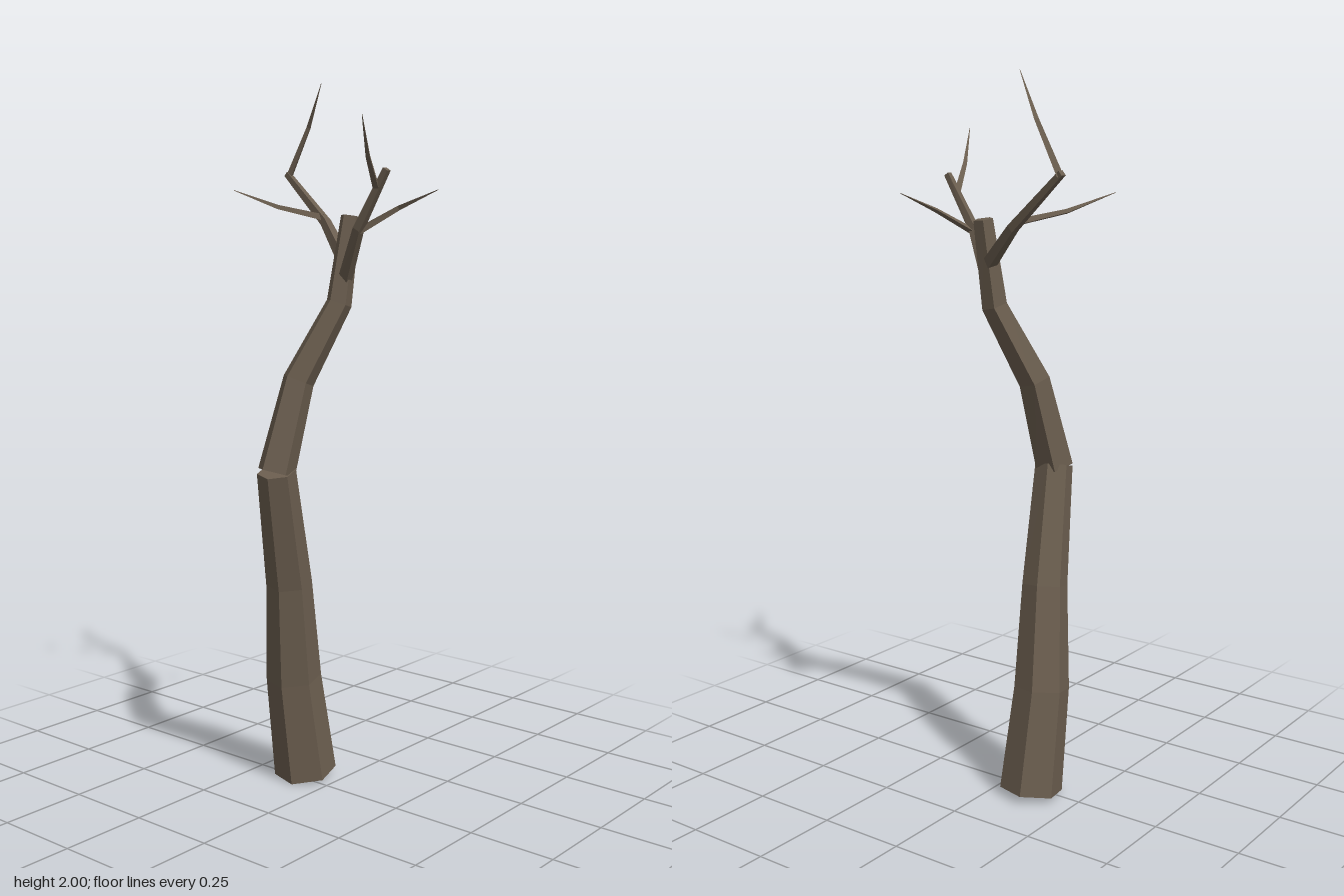
import * as THREE from 'three';

const bark = new THREE.MeshStandardMaterial({ color: 0x6b5e4f });
bark.name = 'bark';

// Faceted, capped limb: stations are [x, y, z, radius], each ring square to the path
function limb(name, sides, turn, stations) {
  const pts = stations.map(s => new THREE.Vector3(s[0], s[1], s[2]));
  const last = pts.length - 1;
  const dir = i => pts[i + 1].clone().sub(pts[i]).normalize();
  const ref = Math.abs(dir(0).x) > 0.65 ? new THREE.Vector3(0, 0, 1) : new THREE.Vector3(1, 0, 0);
  const rings = pts.map((p, i) => {
    const t = dir(Math.min(i, last - 1)).add(dir(Math.max(i - 1, 0))).normalize();
    const u = ref.clone().addScaledVector(t, -ref.dot(t)).normalize();
    const v = u.clone().cross(t);
    const ring = [];
    for (let j = 0; j < sides; j++) {
      const a = THREE.MathUtils.degToRad(turn) + (j / sides) * Math.PI * 2;
      ring.push(p.clone()
        .addScaledVector(u, Math.cos(a) * stations[i][3])
        .addScaledVector(v, Math.sin(a) * stations[i][3]));
    }
    return ring;
  });
  const tris = [];
  for (let j = 0; j < sides; j++) {
    const k = (j + 1) % sides;
    for (let i = 0; i < last; i++) {
      const [a, b, c, d] = [rings[i][j], rings[i][k], rings[i + 1][j], rings[i + 1][k]];
      tris.push(a, c, b, b, c, d);
    }
    tris.push(pts[0], rings[0][j], rings[0][k]);
    tris.push(pts[last], rings[last][k], rings[last][j]);
  }
  const geo = new THREE.BufferGeometry().setFromPoints(tris);
  geo.computeVertexNormals();
  const mesh = new THREE.Mesh(geo, bark);
  mesh.name = name;
  return mesh;
}

export function createModel() {
  const tree = new THREE.Group();
  tree.name = 'bareTree';

  // Trunk in two leaning pieces
  tree.add(limb('lowerTrunk', 6, 16, [
    [-0.105, 0.014, -0.028, 0.09], [-0.11, 0.31, 0.016, 0.079],
    [-0.09, 0.6, 0.058, 0.065], [-0.065, 0.932, 0.137, 0.054],
  ]));
  tree.add(limb('upperTrunk', 5, 19, [
    [-0.066, 0.93, 0.138, 0.055], [-0.042, 1.18, 0.072, 0.046],
    [0.035, 1.39, -0.01, 0.037], [0.047, 1.625, -0.045, 0.028],
  ]));

  // Main branches
  tree.add(limb('rightBranch', 4, 45, [
    [0.035, 1.505, -0.035, 0.021], [-0.12, 1.61, -0.14, 0.016], [-0.292, 1.75, -0.172, 0.011],
  ]));
  tree.add(limb('leftBranch', 4, 45, [
    [0.045, 1.445, -0.02, 0.021], [0.14, 1.59, 0.037, 0.016], [0.235, 1.742, 0.04, 0.011],
  ]));

  // Pointed twigs
  const twigs = {
    rightTopTwig: [[-0.283, 1.74, -0.17], [-0.225, 1.88, -0.19], [-0.165, 2, -0.174]],
    rightSideTwig: [[-0.13, 1.622, -0.14], [-0.243, 1.652, -0.075], [-0.333, 1.7, 0.014]],
    leftSideTwig: [[0.14, 1.585, 0.035], [0.22, 1.645, -0.032], [0.33, 1.69, -0.055]],
    leftTopTwig: [[0.203, 1.69, 0.038], [0.23, 1.77, 0.11], [0.26, 1.87, 0.175]],
  };
  const radii = [0.011, 0.0075, 0.0008];
  for (const [name, path] of Object.entries(twigs)) {
    tree.add(limb(name, 3, 30, path.map((p, i) => [...p, radii[i]])));
  }
  return tree;
}
